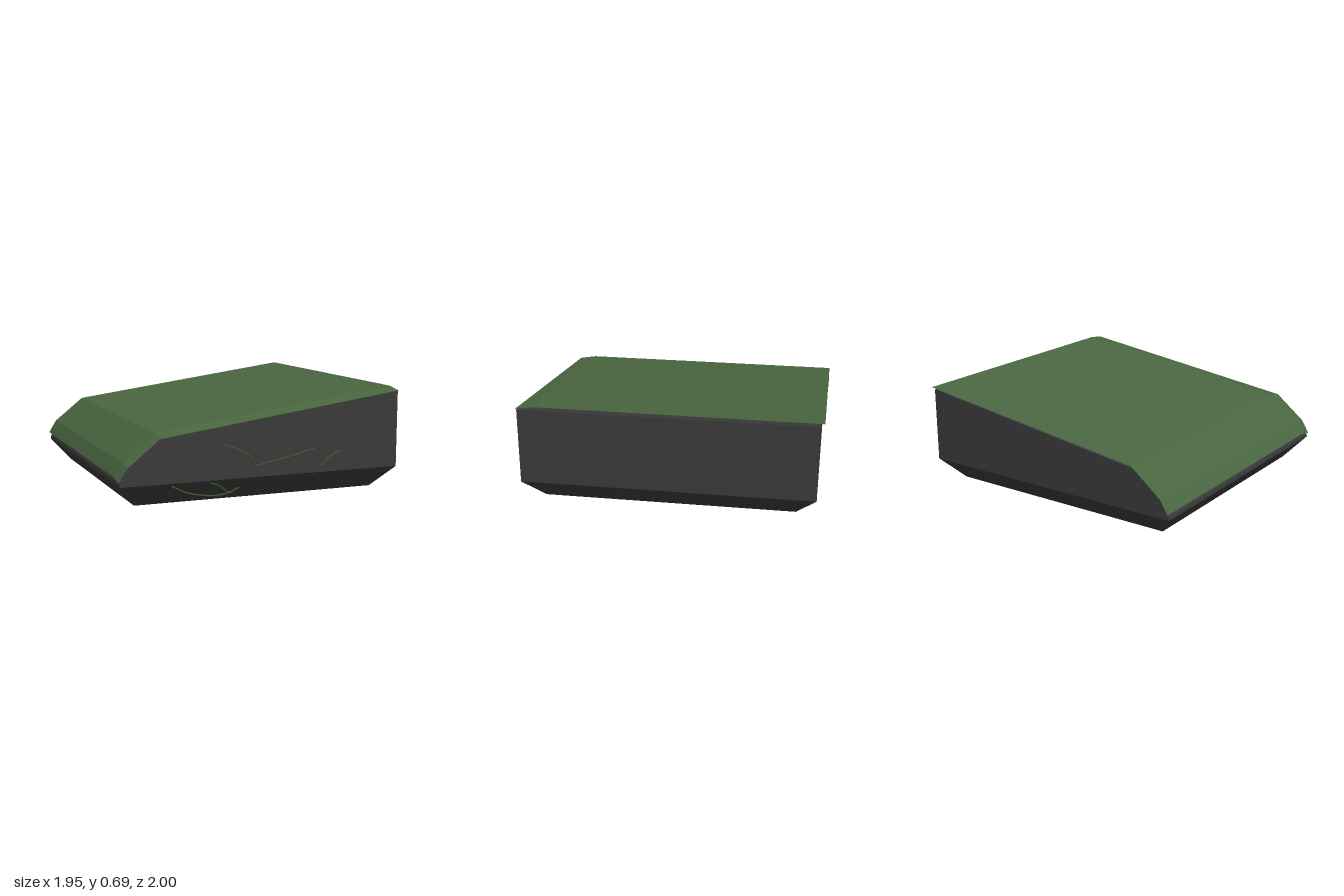
import * as THREE from 'three';

export function createModel() {
  const model = new THREE.Group();
  const stone = new THREE.MeshStandardMaterial({ name: 'dark stone', color: 0x3a3a3a, flatShading: true });
  const moss = new THREE.MeshStandardMaterial({ name: 'moss green', color: 0x4a6741, flatShading: true, side: THREE.DoubleSide });
  const vineGreen = new THREE.MeshStandardMaterial({ name: 'vine green', color: 0x3d5a2f });

  const add = (name, geometry, material) => {
    const mesh = new THREE.Mesh(geometry, material);
    mesh.name = name;
    model.add(mesh);
    return mesh;
  };

  // Wedge-shaped block, extruded front to back
  const outline = [[-0.97, 0.15], [0.97, 0.15], [0.97, 0.662], [-0.71, 0.432], [-0.925, 0.255], [-0.968, 0.17]];
  const shape = new THREE.Shape(outline.map(([x, y]) => new THREE.Vector2(x, y)));
  const block = new THREE.ExtrudeGeometry(shape, { depth: 1.94, bevelEnabled: false });
  block.translate(0, 0, -0.972);
  add('block', block, stone);

  // Base tapering down to a smaller square
  const base = new THREE.CylinderGeometry(0.97 * Math.SQRT2, 0.84 * Math.SQRT2, 0.15, 4);
  base.rotateY(Math.PI / 4);
  base.translate(0, 0.075, 0);
  add('taperedBase', base, stone);

  // Thin moss sheet floating just above the block, with its front strip bent down
  const crest = [[-0.975, 0.197], [-0.92, 0.287], [-0.708, 0.457], [0.97, 0.685]];
  const stations = [[-1, 0], [0.86, 0], [0.978, 0.02]]; // z, drop
  const point = (i, j) => [crest[i][0], crest[i][1] - stations[j][1], stations[j][0]];
  const corners = [];
  for (let i = 0; i < crest.length - 1; i++) {
    for (let j = 0; j < stations.length - 1; j++) {
      const [a, b, c, d] = [point(i, j), point(i, j + 1), point(i + 1, j + 1), point(i + 1, j)];
      corners.push(...a, ...b, ...c, ...a, ...c, ...d);
    }
  }
  const sheet = new THREE.BufferGeometry();
  sheet.setAttribute('position', new THREE.Float32BufferAttribute(corners, 3));
  sheet.computeVertexNormals();
  add('mossSheet', sheet, moss);

  // Thin vines trailing over the front
  const vines = [
    [[-0.29, 0.375, 0.968], [-0.18, 0.335, 0.974], [-0.11, 0.29, 0.974], [-0.07, 0.245, 0.966]],
    [[-0.07, 0.22, 0.966], [0.05, 0.25, 0.983], [0.17, 0.274, 0.99], [0.27, 0.295, 0.983], [0.355, 0.31, 0.966]],
    [[0.4, 0.19, 0.966], [0.46, 0.245, 0.973], [0.54, 0.285, 0.967]],
    [[-0.63, 0.13, 0.95], [-0.52, 0.08, 0.968], [-0.36, 0.055, 0.978], [-0.24, 0.06, 0.95], [-0.15, 0.08, 0.905]],
    [[-0.38, 0.135, 0.955], [-0.31, 0.11, 0.945], [-0.25, 0.065, 0.92], [-0.18, 0.035, 0.865]],
  ];
  vines.forEach((path, i) => {
    const curve = new THREE.CatmullRomCurve3(path.map((p) => new THREE.Vector3(...p)));
    add(`vine${i + 1}`, new THREE.TubeGeometry(curve, 20, 0.005, 6), vineGreen);
  });

  return model;
}
